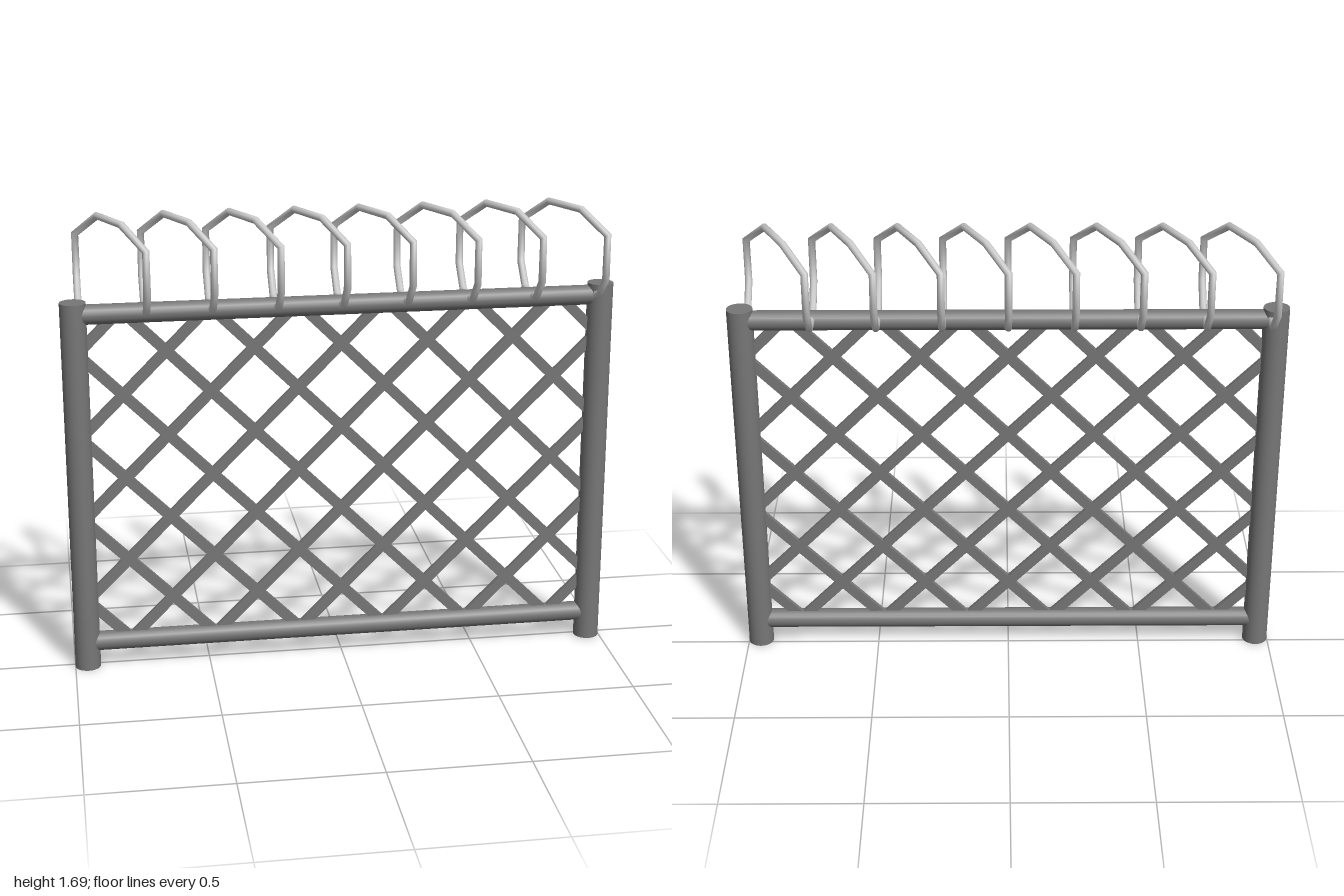
import * as THREE from 'three';

const Z = 0.018; // depth plane of the fence panel

// Polyline whose corners are mitred by averaging the neighbouring directions
class Polyline extends THREE.Curve {
  constructor(points) {
    super();
    this.points = points;
  }
  at(i) {
    return this.points[THREE.MathUtils.clamp(i, 0, this.points.length - 1)];
  }
  getPointAt(u, target = new THREE.Vector3()) {
    return target.copy(this.at(Math.round(u * (this.points.length - 1))));
  }
  getPoint(t, target) {
    return this.getPointAt(t, target);
  }
  getTangentAt(u, target = new THREE.Vector3()) {
    const i = Math.round(u * (this.points.length - 1));
    const before = this.at(i).clone().sub(this.at(i - 1)).normalize();
    const after = this.at(i + 1).clone().sub(this.at(i)).normalize();
    return target.copy(before.add(after).normalize());
  }
}

export function createModel() {
  const model = new THREE.Group();
  model.name = 'fence';
  const dark = new THREE.MeshStandardMaterial({ color: 0x777777 });
  const light = new THREE.MeshStandardMaterial({ color: 0xcccccc });

  const add = (name, geometry, material, x, y, z, parent = model) => {
    const mesh = new THREE.Mesh(geometry, material);
    mesh.name = name;
    mesh.position.set(x, y, z);
    parent.add(mesh);
    return mesh;
  };

  // Posts
  const post = new THREE.CylinderGeometry(0.047, 0.047, 1.395, 24);
  add('leftPost', post, dark, 0.953, 0.6975, Z);
  add('rightPost', post, dark, -0.953, 0.6975, Z);

  // Rails
  const rail = new THREE.CylinderGeometry(0.036, 0.036, 1.9, 20).rotateZ(Math.PI / 2);
  add('topRail', rail, dark, 0, 1.35, Z);
  add('bottomRail', rail, dark, 0, 0.099, Z);

  // Diagonal lattice, each bar clipped to the frame
  const lattice = new THREE.Group();
  lattice.name = 'lattice';
  model.add(lattice);
  const halfWidth = 0.94, low = 0.1, high = 1.35, step = 0.315;
  for (const side of [1, -1]) {
    for (let k = -7; k <= 4; k++) {
      const c = 1.206 + k * step; // height of the bar at x = 0
      const x0 = Math.max(-halfWidth, low - c);
      const x1 = Math.min(halfWidth, high - c);
      if (x1 - x0 < 0.05) continue;
      const mid = (x0 + x1) / 2;
      const bar = new THREE.BoxGeometry((x1 - x0) * Math.SQRT2, 0.038, 0.018);
      const mesh = add('latticeBar', bar, dark, side * mid, c + mid, Z, lattice);
      mesh.rotation.z = side * Math.PI / 4;
    }
  }

  // Angular wire coil: each turn advances over the top, then crosses straight back
  const turns = 8, start = -0.931, pitch = 1.862 / turns;
  const r = 0.159, h = 0.079, cy = 1.521;
  const path = [];
  const point = (x, y, z) => path.push(new THREE.Vector3(x, cy + y, z));
  point(start, -r, 0);
  for (let i = 0; i < turns; i++) {
    const a = start + i * pitch, b = a + pitch;
    point(a, -r, -h);
    point(a, -h, -r);
    point(a, h, -r);
    point(a + pitch / 3, r, -h);
    point(b - pitch / 3, r, h);
    point(b, h, r);
    point(b, -h, r);
    point(b, -r, h);
  }
  point(start + turns * pitch, -r, 0);
  add('wireCoil', new THREE.TubeGeometry(new Polyline(path), path.length - 1, 0.0135, 10), light, 0, 0, 0);

  return model;
}
